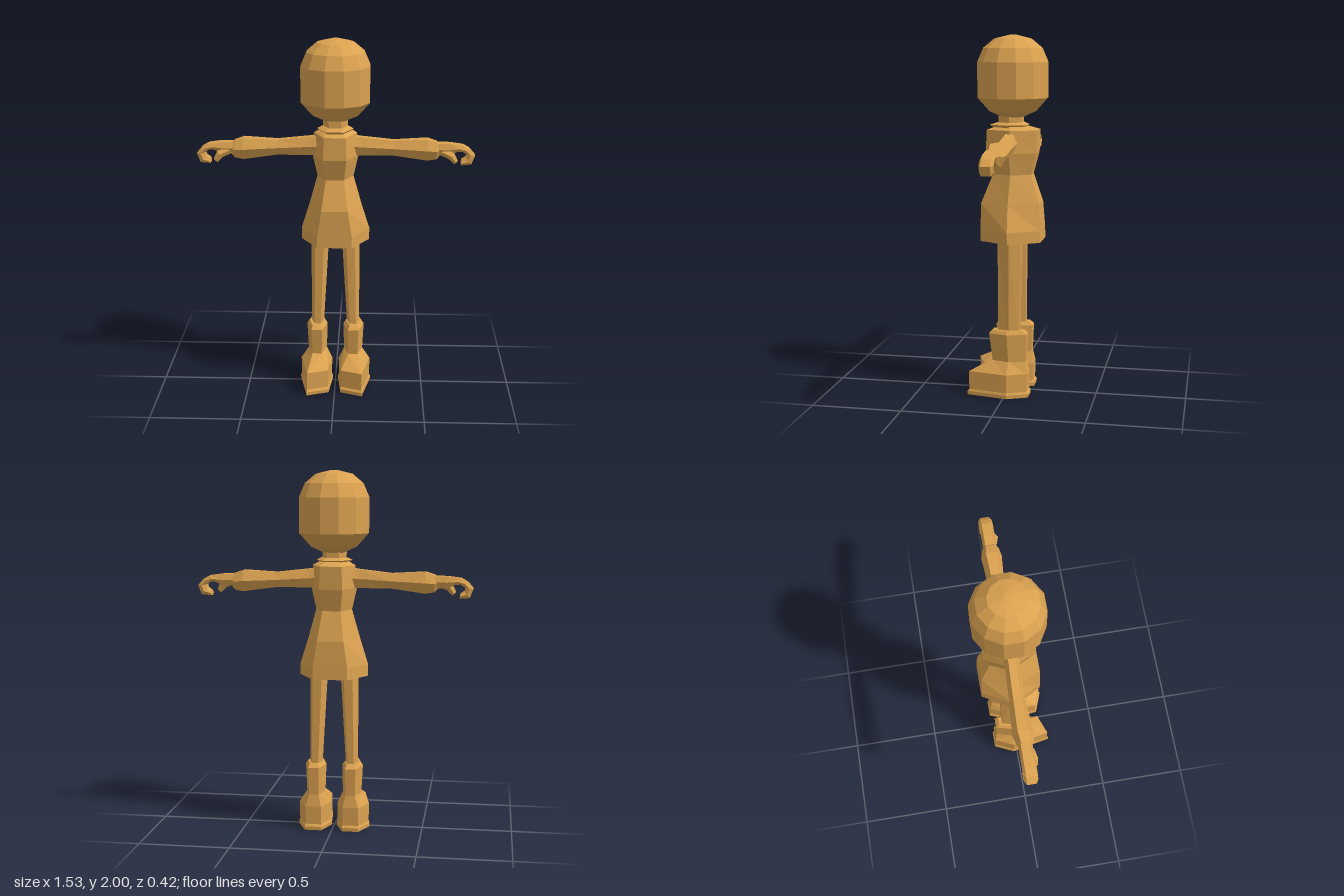
import * as THREE from 'three';

const material = new THREE.MeshStandardMaterial({ color: 0xdba250, flatShading: true });

// Closed faceted skin through rings of [x, y, z] points; wound outward by its signed volume
function loft(name, rings) {
  const n = rings[0].length;
  const tris = [];
  for (let i = 0; i < rings.length - 1; i++) {
    for (let j = 0; j < n; j++) {
      const k = (j + 1) % n;
      const [a, b, c, d] = [rings[i][j], rings[i][k], rings[i + 1][k], rings[i + 1][j]];
      tris.push([a, b, c], [a, c, d]);
    }
  }
  const cap = (ring, flip) => {
    const mid = [0, 1, 2].map(axis => ring.reduce((sum, p) => sum + p[axis], 0) / n);
    ring.forEach((p, j) => {
      const q = ring[(j + 1) % n];
      tris.push(flip ? [mid, q, p] : [mid, p, q]);
    });
  };
  cap(rings[0], true);
  cap(rings[rings.length - 1], false);

  const v = p => new THREE.Vector3(...p);
  const volume = tris.reduce((sum, [a, b, c]) => sum + v(a).dot(v(b).cross(v(c))), 0);
  if (volume < 0) tris.forEach(t => t.reverse());

  const geometry = new THREE.BufferGeometry();
  geometry.setAttribute('position', new THREE.Float32BufferAttribute(tris.flat(2), 3));
  geometry.computeVertexNormals();
  const mesh = new THREE.Mesh(geometry, material);
  mesh.name = name;
  return mesh;
}

// Horizontal hexagon with corners on both sides, spanning x0..x1 and zBack..zFront
function hexRing(y, x0, x1, zFront, zBack) {
  const cx = (x0 + x1) / 2, rx = (x1 - x0) / 2;
  const cz = (zFront + zBack) / 2, rz = (zFront - zBack) / 2;
  return [[1, 0], [0.5, 1], [-0.5, 1], [-1, 0], [-0.5, -1], [0.5, -1]]
    .map(([u, w]) => [cx + u * rx, y, cz + w * rz]);
}

// Upright hexagon across the arm at x
function armRing(x, yTop, yBottom, zFront, zBack) {
  const cy = (yTop + yBottom) / 2, cz = (zFront + zBack) / 2;
  const ry = (yTop - yBottom) / 2, rz = (zFront - zBack) / 2;
  return [[0, 1], [1, 0.5], [1, -0.5], [0, -1], [-1, -0.5], [-1, 0.5]]
    .map(([v, w]) => [x, cy + v * ry, cz + w * rz]);
}

function createHead() {
  const profile = [[1.55, 0.05], [1.585, 0.125], [1.66, 0.19], [1.855, 0.19],
    [1.93, 0.158], [1.98, 0.1], [2.0, 0.02]];
  return loft('head', profile.map(([y, r]) => Array.from({ length: 12 }, (_, i) => {
    const a = (i + 0.5) * Math.PI / 6;
    return [r * 1.02 * Math.sin(a), y, -0.02 + r * 1.03 * Math.cos(a)];
  })));
}

function createArm(s) {
  const arm = new THREE.Group();
  const mirror = rings => rings.map(ring => ring.map(([x, y, z]) => [s * x, y, z]));

  arm.add(loft('sleeve', mirror([
    armRing(0.06, 1.475, 1.36, 0.03, -0.07),
    armRing(0.14, 1.463, 1.36, 0.02, -0.06),
    armRing(0.32, 1.443, 1.36, 0.015, -0.068),
    armRing(0.505, 1.453, 1.335, 0.03, -0.083),
    armRing(0.555, 1.437, 1.343, 0.022, -0.07),
    armRing(0.57, 1.425, 1.36, 0.01, -0.06),
  ])));

  // Curled hand: outer and inner edge points along the curl
  const curl = [[0.55, 1.43, 0.55, 1.365], [0.625, 1.43, 0.625, 1.365], [0.7, 1.42, 0.665, 1.385],
    [0.735, 1.4, 0.695, 1.387], [0.765, 1.365, 0.72, 1.37], [0.745, 1.315, 0.715, 1.35],
    [0.69, 1.31, 0.693, 1.335]];
  arm.add(loft('hand', mirror(curl.map(([xo, yo, xi, yi]) => {
    const xm = (xo + xi) / 2, ym = (yo + yi) / 2;
    return [[xo, yo, 0], [xm, ym, 0.012], [xi, yi, 0], [xi, yi, -0.05], [xm, ym, -0.063], [xo, yo, -0.05]];
  }))));

  // Thumb bent down in front of the palm
  const thumb = [[0.585, 1.385, 0, 0.016], [0.635, 1.365, 0.014, 0.016], [0.66, 1.33, 0.016, 0.01]];
  arm.add(loft('thumb', mirror(thumb.map(([x, y, z, r]) =>
    [[x + r, y + r, z], [x, y, z + r], [x - r, y - r, z], [x, y, z - r]]))));
  return arm;
}

function createLeg(s) {
  const leg = new THREE.Group();
  const mirror = rings => rings.map(ring => ring.map(([x, y, z]) => [s * x, y, z]));

  leg.add(loft('stocking', mirror([
    hexRing(0.3, 0.07, 0.136, 0.04, -0.08),
    hexRing(0.9, 0.035, 0.136, 0.045, -0.085),
  ])));

  // Boot outline seen from above, scaled about its middle
  const foot = (y, k) => [[0.2, -0.02], [0.155, 0.205], [0.035, 0.16], [0.017, -0.02], [0.06, -0.13], [0.15, -0.13]]
    .map(([x, z]) => [0.108 + (x - 0.108) * k, y, 0.03 + (z - 0.03) * k]);
  leg.add(loft('boot', mirror([
    foot(0.025, 0.97),
    foot(0.135, 0.98),
    hexRing(0.2, 0.05, 0.155, 0.07, -0.115),
    hexRing(0.355, 0.045, 0.163, 0.09, -0.12),
    hexRing(0.375, 0.06, 0.15, 0.07, -0.1),
  ])));
  leg.add(loft('sole', mirror([foot(0, 1.02), foot(0.02, 1.03), foot(0.035, 0.96)])));
  return leg;
}

export function createModel() {
  const model = new THREE.Group();
  model.name = 'figure';
  model.add(createHead());

  const body = (y, r, zFront, zBack) => hexRing(y, -r, r, zFront, zBack);
  model.add(loft('neck', [body(1.48, 0.065, 0.055, -0.075), body(1.59, 0.07, 0.055, -0.075)]));
  model.add(loft('collar', [
    body(1.495, 0.08, 0.075, -0.085), body(1.512, 0.1, 0.1, -0.105), body(1.525, 0.075, 0.06, -0.08),
  ]));

  // Dress from the slightly recessed underside up to the shoulders
  model.add(loft('dress', [
    body(0.89, 0.12, 0.09, -0.13),
    body(0.87, 0.19, 0.145, -0.19),
    body(0.935, 0.19, 0.145, -0.188),
    body(1.08, 0.145, 0.145, -0.18),
    body(1.24, 0.1, 0.082, -0.13),
    body(1.36, 0.127, 0.12, -0.16),
    body(1.485, 0.118, 0.115, -0.165),
    body(1.505, 0.08, 0.06, -0.1),
  ]));

  for (const [side, s] of [['left', 1], ['right', -1]]) {
    const arm = createArm(s);
    arm.name = side + 'Arm';
    const leg = createLeg(s);
    leg.name = side + 'Leg';
    model.add(arm, leg);
  }
  return model;
}
